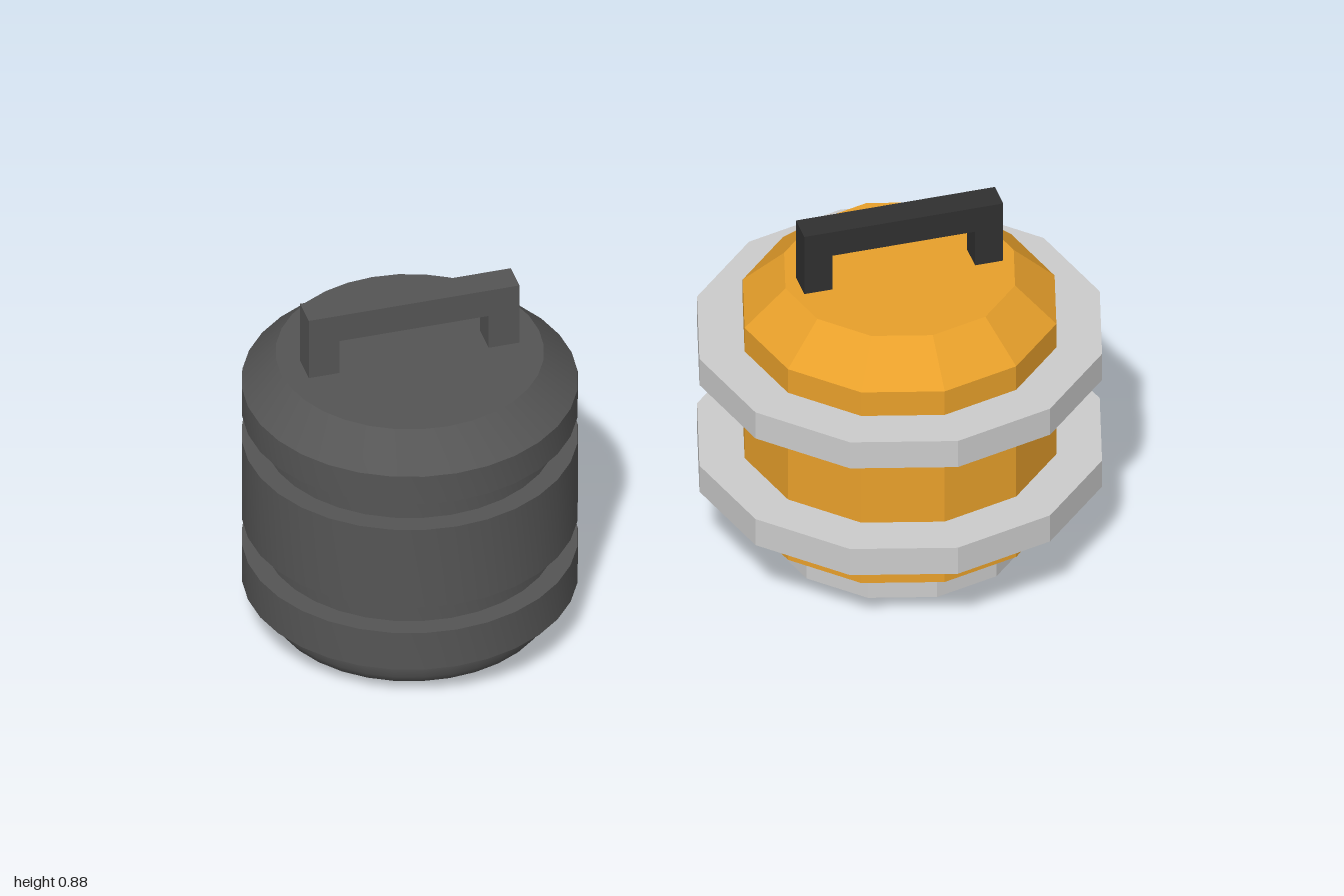
import * as THREE from 'three';
import { toCreasedNormals } from 'three/addons/utils/BufferGeometryUtils.js';

const paint = (color, flatShading = false) => new THREE.MeshStandardMaterial({ color, flatShading });

// Turned solid from [radius, height] pairs listed bottom to top
function turned(name, profile, sides, material, smooth = false) {
  const points = profile.map(([r, y]) => new THREE.Vector2(r, y));
  let geometry = new THREE.LatheGeometry(points, sides);
  if (smooth) geometry = toCreasedNormals(geometry, 0.5);
  const mesh = new THREE.Mesh(geometry, material);
  mesh.name = name;
  return mesh;
}

// Square-cut carrying handle, drawn as an arch and extruded
function handle(width, opening, openingTop, depth, material) {
  const w = width / 2, o = opening / 2, low = 0.715, top = 0.88;
  const outline = [[-w, low], [-o, low], [-o, openingTop], [o, openingTop], [o, low], [w, low], [w, top], [-w, top]];
  const shape = new THREE.Shape(outline.map(([x, y]) => new THREE.Vector2(x, y)));
  const geometry = new THREE.ExtrudeGeometry(shape, { depth, bevelEnabled: false });
  geometry.translate(0, 0, -depth / 2);
  const mesh = new THREE.Mesh(geometry, material);
  mesh.name = 'handle';
  return mesh;
}

export function createModel() {
  const model = new THREE.Group();
  model.name = 'canisters';

  const darkGrey = paint(0x555555);
  const black = paint(0x303030, true);
  const orange = paint(0xe8a02b, true);
  const steel = paint(0xcccccc, true);

  // Smooth grooved canister
  const smoothCanister = new THREE.Group();
  smoothCanister.name = 'smoothCanister';
  smoothCanister.position.x = -0.62;
  smoothCanister.add(
    turned('groovedBody', [
      [0, 0.02], [0.28, 0.02], [0.302, 0.025], [0.319, 0.037], [0.33, 0.056], [0.335, 0.08], [0.335, 0.112],
      [0.38, 0.112], [0.38, 0.213], [0.333, 0.213], [0.333, 0.283],
      [0.38, 0.283], [0.38, 0.498], [0.333, 0.498], [0.333, 0.569],
      [0.38, 0.569], [0.38, 0.645], [0.303, 0.722], [0, 0.722],
    ], 32, darkGrey, true),
    handle(0.495, 0.35, 0.81, 0.07, darkGrey),
  );

  // Faceted canister with two wide collars
  const facetedCanister = new THREE.Group();
  facetedCanister.name = 'facetedCanister';
  facetedCanister.position.x = 0.53;
  facetedCanister.add(
    turned('body', [[0, 0.105], [0.364, 0.105], [0.364, 0.632], [0.268, 0.722], [0, 0.722]], 12, orange),
    turned('neck', [[0, 0.06], [0.302, 0.06], [0.302, 0.11], [0, 0.11]], 12, black),
    turned('baseRing', [[0, 0.022], [0.303, 0.022], [0.303, 0.065], [0, 0.065]], 12, steel),
    turned('foot', [[0, 0], [0.24, 0], [0.273, 0.022], [0, 0.022]], 12, black),
    handle(0.467, 0.335, 0.815, 0.067, black),
  );
  for (const [name, y] of [['lowerCollar', 0.2], ['upperCollar', 0.495]]) {
    facetedCanister.add(turned(name, [[0.34, y], [0.47, y], [0.47, y + 0.072], [0.34, y + 0.072]], 12, steel));
  }

  model.add(smoothCanister, facetedCanister);
  return model;
}
